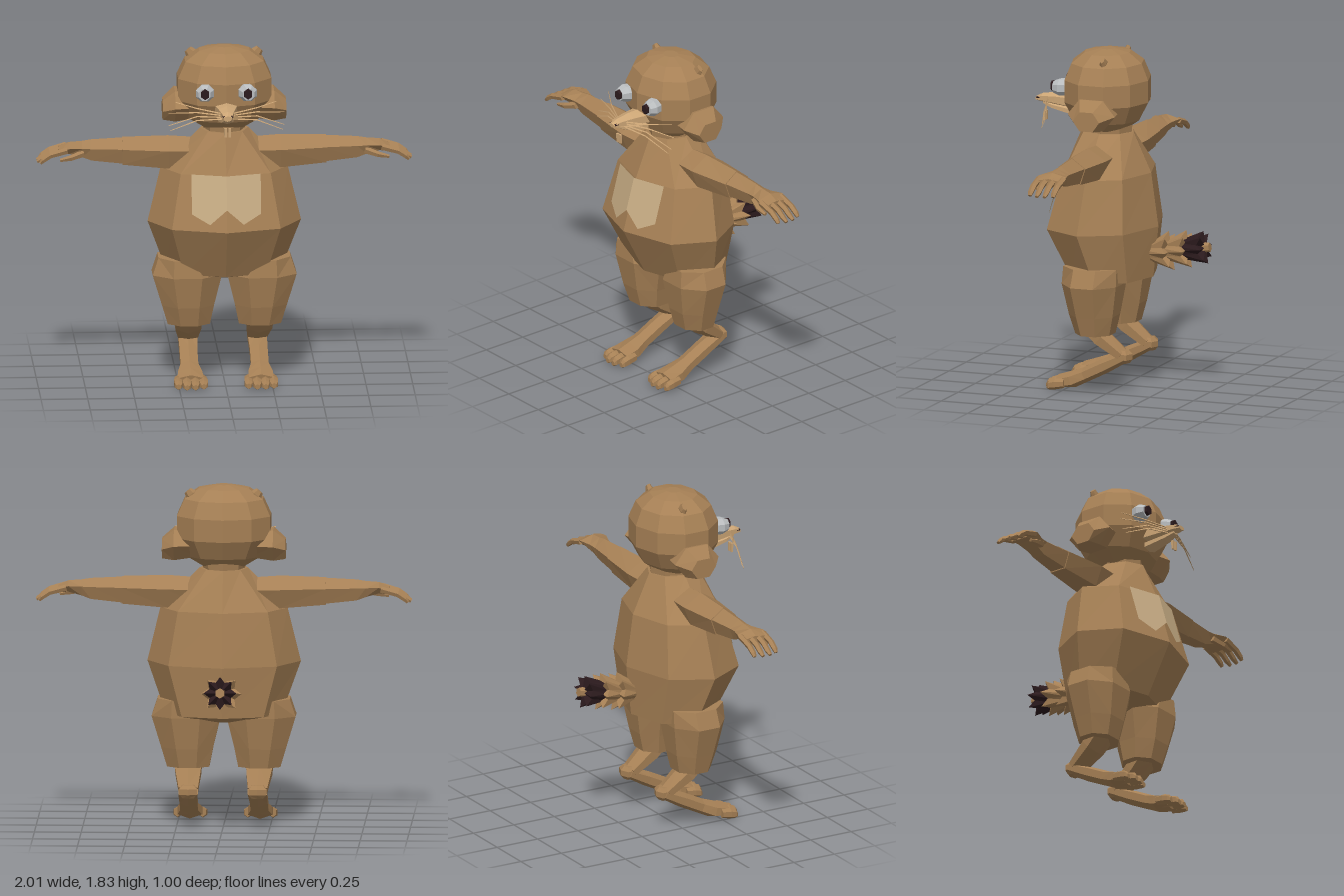
import * as THREE from 'three';

const X = new THREE.Vector3(1, 0, 0), Y = new THREE.Vector3(0, 1, 0), Z = new THREE.Vector3(0, 0, 1);

function makeMaterial(name, color, side = THREE.FrontSide) {
  const m = new THREE.MeshStandardMaterial({ color, side });
  m.name = name;
  return m;
}

// Flat-shaded geometry from points and triangle indices
function facets(points, index) {
  let g = new THREE.BufferGeometry().setFromPoints(points);
  g.setIndex(index);
  g = g.toNonIndexed();
  g.computeVertexNormals();
  return g;
}

// Closed loft. Each node is [x, y, z, halfWidth, halfThickness, toothDepth].
// w is the width axis; t an optional fixed direction; side = -1 mirrors in x.
function loft(nodes, { w = X, n = 8, off = 0, t = null, side = 1 } = {}) {
  const pts = [], idx = [];
  const centres = nodes.map(a => new THREE.Vector3(a[0], a[1], a[2]));
  nodes.forEach(([, , , rw, rt, tooth = 0], k) => {
    const dir = t ? t.clone() : centres[Math.min(k + 1, nodes.length - 1)].clone()
      .sub(centres[Math.max(k - 1, 0)]).normalize();
    const v = w.clone().cross(dir).normalize();
    for (let i = 0; i < n; i++) {
      const a = (i + off) / n * Math.PI * 2, s = i % 2 ? 1 - tooth : 1;
      pts.push(centres[k].clone().addScaledVector(w, Math.sin(a) * rw * s)
        .addScaledVector(v, Math.cos(a) * rt * s)
        .addScaledVector(dir, i % 2 ? -tooth * 0.1 : 0));
    }
  });
  const last = nodes.length - 1, c0 = pts.length;
  pts.push(centres[0], centres[last]);
  for (let i = 0; i < n; i++) {
    const j = (i + 1) % n;
    for (let k = 0; k < last; k++) {
      const a = k * n + i, b = k * n + j;
      idx.push(a, b, b + n, a, b + n, a + n);
    }
    idx.push(c0, j, i, c0 + 1, last * n + i, last * n + j);
  }
  pts.forEach(p => { p.x *= side; });
  // Turn the faces outward if the enclosed volume is negative
  let vol = 0;
  for (let i = 0; i < idx.length; i += 3) {
    vol += pts[idx[i]].dot(pts[idx[i + 1]].clone().cross(pts[idx[i + 2]]));
  }
  if (vol < 0) idx.reverse();
  return facets(pts, idx);
}

export function createModel() {
  const fur = makeMaterial('brown fur', 0xa68055);
  const cream = makeMaterial('cream chest', 0xc6ab83, THREE.DoubleSide);
  const tan = makeMaterial('light tan muzzle', 0xcda676);
  const dark = makeMaterial('dark brown', 0x2b1a1d);
  const grey = makeMaterial('eye grey', 0xb9bcbe);

  const model = new THREE.Group();
  const add = (name, geometry, material, parent = model) => {
    const m = new THREE.Mesh(geometry, material);
    m.name = name;
    parent.add(m);
    return m;
  };

  // Body, neck and head
  add('body', loft([
    [0, 0.56, 0.05, 0.06, 0.05], [0, 0.605, 0.05, 0.31, 0.222], [0, 0.88, 0.107, 0.41, 0.308],
    [0, 1.17, 0.085, 0.34, 0.245], [0, 1.385, 0.088, 0.13, 0.148],
  ], { t: Y }), fur);
  add('neck', loft([[0, 1.36, 0.085, 0.11, 0.13], [0, 1.45, 0.085, 0.12, 0.14]], { t: Y }), fur);
  const headRings = [[1.395, 0.1], [1.45, 0.18], [1.55, 0.232], [1.67, 0.232], [1.76, 0.195], [1.815, 0.125], [1.833, 0.04]];
  add('head', loft(headRings.map(([y, r]) => [0, y, 0.09, r * 1.13, r]), { t: Y, n: 10 }), fur);

  // Chest patch hugging the front of the body
  const columns = [[-0.185, 0.97], [-0.09, 0.92], [0, 1.0], [0.09, 0.92], [0.185, 0.97]];
  const patch = [], patchIdx = [];
  columns.forEach(([x, low], i) => {
    for (const y of [1.175, low]) {
      patch.push(new THREE.Vector3(x, y, 0.43 - (y - 0.88) * 0.293 - Math.abs(x) * 0.3));
    }
    const a = i * 2;
    if (i < 4) patchIdx.push(a, a + 1, a + 3, a, a + 3, a + 2);
  });
  add('chestPatch', facets(patch, patchIdx), cream);

  // Muzzle, jaw and teeth
  add('muzzle', loft([
    [0, 1.53, 0.26, 0.075, 0.045], [0, 1.535, 0.38, 0.052, 0.036],
    [0, 1.535, 0.46, 0.034, 0.024], [0, 1.53, 0.495, 0.024, 0.012],
  ], { t: Z, n: 6 }), tan);
  add('lowerJaw', loft([
    [0, 1.475, 0.28, 0.05, 0.025], [0, 1.495, 0.4, 0.035, 0.018], [0, 1.512, 0.455, 0.02, 0.01],
  ], { t: Z, n: 6 }), tan);

  for (const side of [1, -1]) {
    const label = side > 0 ? 'left' : 'right';
    const part = (name, nodes, opts, material = fur, parent = model) =>
      add(label + name, loft(nodes, { ...opts, side }), material, parent);

    // Face details
    part('Cheek', [
      [0.14, 1.515, 0.08, 0.11, 0.075], [0.265, 1.515, 0.08, 0.135, 0.095], [0.33, 1.49, 0.085, 0.075, 0.06],
    ], { w: Z, t: X, n: 6, off: 0.5 });
    part('Ear', [
      [0.14, 1.74, 0.045, 0.018, 0.025], [0.175, 1.785, 0.045, 0.02, 0.032], [0.192, 1.805, 0.045, 0.012, 0.022],
    ], { w: Z, n: 6 });
    part('Eye', [
      [0.1, 1.625, 0.25, 0.05, 0.047], [0.115, 1.625, 0.315, 0.052, 0.048], [0.118, 1.625, 0.35, 0.034, 0.034],
    ], { t: Z, off: 0.5 }, grey);
    part('Pupil', [[0.115, 1.628, 0.34, 0.027, 0.032], [0.115, 1.628, 0.366, 0.022, 0.027]],
      { t: Z, n: 6 }, dark);
    part('Nostril', [[0.018, 1.536, 0.468, 0.011, 0.008], [0.018, 1.536, 0.49, 0.009, 0.007]],
      { t: Z, n: 4 }, dark);
    part('Tooth', [[0.011, 1.415, 0.445, 0.009, 0.007], [0.011, 1.465, 0.445, 0.01, 0.009]],
      { t: Y, n: 4, off: 0.5 }, tan);
    const whiskers = [[0.27, 1.575, 0.3], [0.31, 1.52, 0.32], [0.31, 1.455, 0.335], [0.3, 1.432, 0.35]];
    whiskers.forEach(([x, y, z], i) => part('Whisker' + (i + 1), [
      [0.03, 1.54 - i * 0.01, 0.425, 0.004, 0.004],
      [0.16, 1.556 - i * 0.02, (z + 0.425) / 2 + 0.005, 0.004, 0.004],
      [x, y, z, 0.002, 0.002],
    ], { w: Z, n: 3 }, tan));

    // Arm with hand and fingers
    const arm = new THREE.Group();
    arm.name = label + 'Arm';
    model.add(arm);
    part('UpperArm', [
      [0.12, 1.25, 0.085, 0.1, 0.08], [0.3, 1.25, 0.085, 0.11, 0.093], [0.545, 1.258, 0.08, 0.082, 0.079],
    ], { w: Z, t: X, n: 5 }, fur, arm);
    part('Forearm', [
      [0.53, 1.259, 0.08, 0.078, 0.075], [0.71, 1.265, 0.08, 0.06, 0.06], [0.76, 1.272, 0.08, 0.062, 0.045],
      [0.83, 1.282, 0.08, 0.085, 0.03], [0.885, 1.268, 0.08, 0.082, 0.02],
    ], { w: Z, t: X, n: 5 }, fur, arm);
    for (let i = 0; i < 4; i++) {
      const z = 0.016 + i * 0.044, tip = i % 3 ? 1 : 0.985;
      part('Finger' + (i + 1), [
        [0.84, 1.28, z, 0.02, 0.018], [0.93, 1.255, z, 0.018, 0.016],
        [0.97, 1.228, z, 0.016, 0.014], [tip, 1.212, z, 0.01, 0.009],
      ], { w: Z, n: 5 }, fur, arm);
    }
    part('Thumb', [
      [0.75, 1.26, 0.125, 0.022, 0.02], [0.82, 1.24, 0.15, 0.018, 0.016], [0.88, 1.228, 0.152, 0.01, 0.009],
    ], { w: Z, n: 5 }, fur, arm);

    // Leg with hocked lower half
    const leg = new THREE.Group();
    leg.name = label + 'Leg';
    model.add(leg);
    part('Thigh', [
      [0.19, 0.315, 0.085, 0.122, 0.105], [0.195, 0.42, 0.088, 0.15, 0.135],
      [0.2, 0.59, 0.09, 0.2, 0.168], [0.215, 0.685, 0.085, 0.15, 0.165],
    ], { t: Y, off: 0.5 }, fur, leg);
    part('Calf', [
      [0.19, 0.36, 0.11, 0.085, 0.06], [0.19, 0.29, 0.045, 0.08, 0.052], [0.185, 0.205, -0.07, 0.06, 0.035],
    ], { n: 6 }, fur, leg);
    part('Heel', [
      [0.185, 0.165, -0.09, 0.035, 0.02], [0.185, 0.185, -0.09, 0.055, 0.036],
      [0.185, 0.215, -0.09, 0.055, 0.036], [0.185, 0.235, -0.085, 0.035, 0.02],
    ], { t: Y, n: 6 }, fur, leg);
    part('Foot', [
      [0.185, 0.2, -0.09, 0.06, 0.03], [0.188, 0.14, 0.03, 0.055, 0.04], [0.188, 0.085, 0.14, 0.055, 0.04],
      [0.188, 0.055, 0.21, 0.075, 0.045], [0.188, 0.04, 0.29, 0.08, 0.035],
    ], { n: 6 }, fur, leg);
    for (let i = 0; i < 4; i++) {
      const x = 0.12 + i * 0.045, front = i % 3 ? 0.355 : 0.335;
      part('Toe' + (i + 1), [
        [x, 0.04, 0.24, 0.02, 0.025], [x, 0.034, front - 0.045, 0.026, 0.03],
        [x, 0.027, front - 0.012, 0.024, 0.026], [x, 0.02, front, 0.014, 0.015],
      ], { t: Z, n: 6 }, fur, leg);
    }
  }

  // Tail of three flared, toothed tufts and a small tip
  const along = new THREE.Vector3(0, 0.16, -1).normalize();
  const tuft = (name, y, z, length, r0, r1, material) => add(name, loft([
    [0, y, z, r0, r0], [0, y + along.y * length, z + along.z * length, r1, r1, 0.3],
  ], { t: along, n: 16 }), material);
  tuft('tailBase', 0.735, -0.15, 0.13, 0.045, 0.107, fur);
  tuft('tailMiddle', 0.752, -0.25, 0.13, 0.05, 0.102, fur);
  tuft('tailDarkTuft', 0.768, -0.35, 0.125, 0.055, 0.088, dark);
  add('tailTip', loft([[0, 0.785, -0.45, 0.03, 0.03], [0, 0.79, -0.497, 0.025, 0.025]], { t: along, n: 6 }), fur);

  return model;
}
